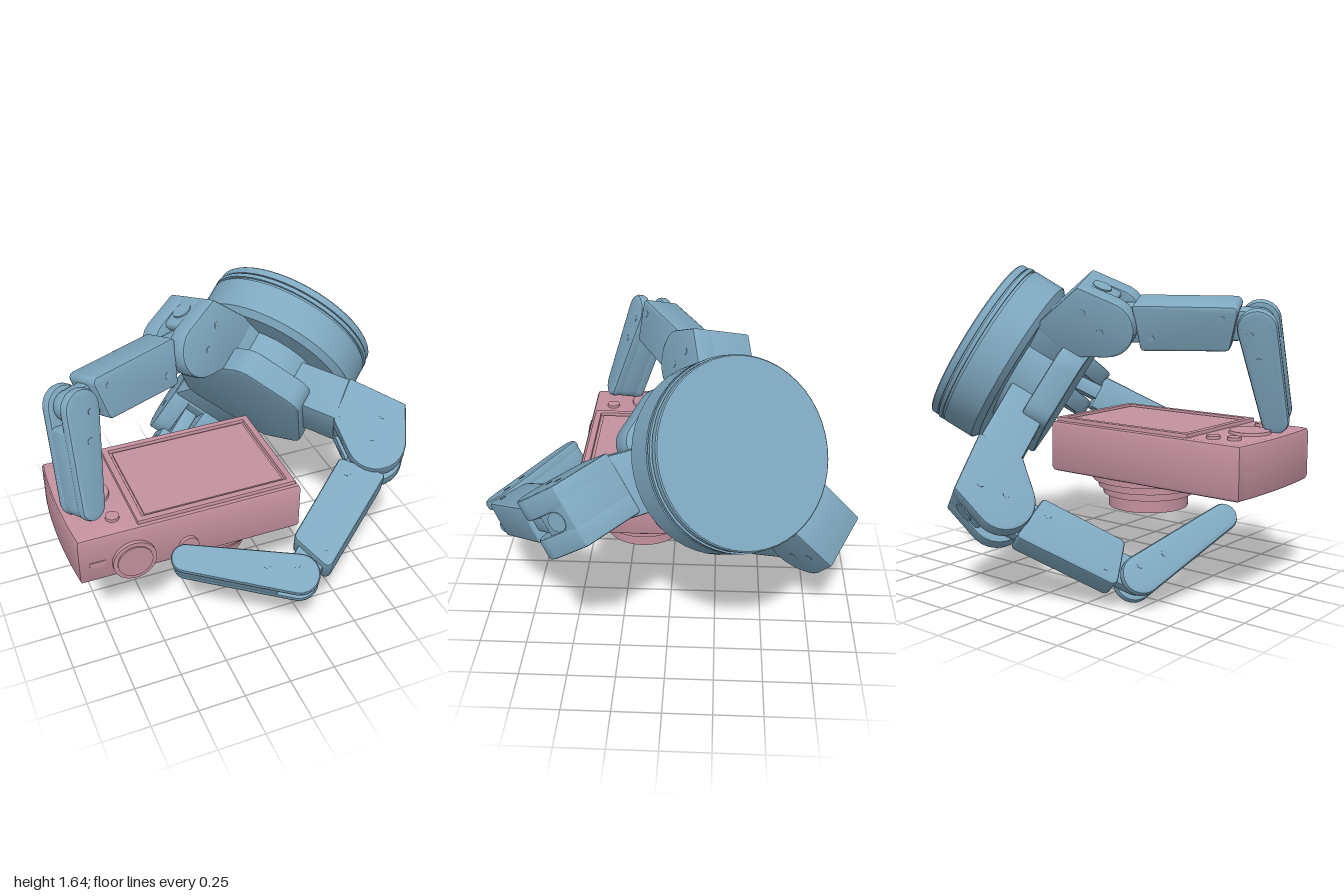
import * as THREE from 'three';
import { toCreasedNormals } from 'three/addons/utils/BufferGeometryUtils.js';

const V = (x, y, z) => new THREE.Vector3(x, y, z);
const blue = new THREE.MeshStandardMaterial({ color: 0x7fa8c0 });
const pink = new THREE.MeshStandardMaterial({ color: 0xc4919f });

function add(parent, name, geo, mat, x = 0, y = 0, z = 0) {
  const m = new THREE.Mesh(geo, mat);
  m.name = name;
  m.position.set(x, y, z);
  parent.add(m);
  return m;
}

// Convex outline around circles given as [x, y, radius]
function hull(circles) {
  const pts = [];
  for (const [x, y, r] of circles) {
    for (let i = 0; i < 24; i++) {
      const a = i * Math.PI / 12;
      pts.push(new THREE.Vector2(x + r * Math.cos(a), y + r * Math.sin(a)));
    }
  }
  pts.sort((a, b) => a.x - b.x || a.y - b.y);
  const chain = list => {
    const out = [];
    for (const p of list) {
      while (out.length > 1) {
        const a = out[out.length - 2], b = out[out.length - 1];
        if ((b.x - a.x) * (p.y - a.y) - (b.y - a.y) * (p.x - a.x) > 1e-7) break;
        out.pop();
      }
      out.push(p);
    }
    return out.slice(0, -1);
  };
  return new THREE.Shape([...chain(pts), ...chain(pts.reverse())]);
}

// Extrusion centred on z, with edges bevelled inward
function slab(shape, width, bevel = 0.012) {
  const g = new THREE.ExtrudeGeometry(shape, {
    depth: width - 2 * bevel, bevelEnabled: true, bevelThickness: bevel,
    bevelSize: bevel, bevelOffset: -bevel, bevelSegments: 2, curveSegments: 10,
  });
  g.translate(0, 0, bevel - width / 2);
  return toCreasedNormals(g, 0.6);
}

// Group at a point: x along dir, z along the hinge, y turned toward a target
function frame(parent, name, origin, dir, hinge, target) {
  const e1 = dir.clone().normalize();
  const e3 = hinge.clone().addScaledVector(e1, -hinge.dot(e1)).normalize();
  const e2 = e3.clone().cross(e1);
  if (target && e2.dot(target.clone().sub(origin)) < 0) { e3.negate(); e2.negate(); }
  const g = new THREE.Group();
  g.name = name;
  g.quaternion.setFromRotationMatrix(new THREE.Matrix4().makeBasis(e1, e2, e3));
  g.position.copy(origin);
  parent.add(g);
  return g;
}

function screws(parent, list, half) {
  for (const [x, y] of list) for (const s of [-1, 1]) {
    add(parent, 'screw', new THREE.CylinderGeometry(0.018, 0.018, 0.008, 12), blue, x, y, s * (half - 0.002))
      .rotation.x = Math.PI / 2;
  }
}

// Axis of the hand: face centre, outward normal and the three radial directions
const C0 = V(0.612, 1.253, -0.372);
const N = V(0.71, 0.52, -0.47).normalize();
const R = V(-0.6, 0.796, -0.05);
R.addScaledVector(N, -R.dot(N)).normalize();
const T = N.clone().cross(R);
const along = d => C0.clone().addScaledVector(N, -d);

function finger({ name, angle, corner, mid, end, tip }) {
  const g = new THREE.Group();
  g.name = name;
  const hinge = T.clone().applyAxisAngle(N, angle);
  const hub = along(0.4);

  // knuckle: forked block with a rounded end
  const k = frame(g, 'knuckle', corner, mid.clone().sub(corner), hinge, hub);
  const heel = [[0.015, 0, 0.012], [0.06, 0.29, 0.01], [0.27, 0.22, 0.02]];
  add(k, 'knuckleCore', slab(hull([...heel, [0.16, -0.08, 0.02], [0.2, 0.1, 0.02]]), 0.3), blue);
  for (const s of [-1, 1]) {
    add(k, 'knuckleCheek', slab(hull([...heel, [0.25, 0, 0.148]]), 0.11), blue, 0, 0, s * 0.105);
  }
  screws(k, [[0.25, 0.03], [0.12, 0.05]], 0.16);
  const bolt = add(k, 'knuckleBolt', new THREE.CylinderGeometry(0.05, 0.05, 0.008, 20), blue, 0.08, -0.057, 0);
  bolt.rotation.z = -0.62;

  // arm joining the knuckle to the hub
  k.updateMatrix();
  const seam = V(0.165, 0.235, 0).applyMatrix4(k.matrix);
  const toHub = hub.clone().sub(seam);
  const a = frame(g, 'arm', seam, toHub, hinge);
  add(a, 'armBeam', slab(hull([[-0.03, -0.1, 0.015], [-0.03, 0.1, 0.015],
    [toHub.length(), -0.1, 0.015], [toHub.length(), 0.1, 0.015]]), 0.31), blue);

  // middle link: box on a thin tongue
  const span = end.clone().sub(mid), L = span.length();
  const l = frame(g, 'link', mid, span, hinge, hub);
  add(l, 'linkTongue', slab(hull([[0, 0, 0.1], [L, 0, 0.075]]), 0.085), blue);
  add(l, 'linkBody', slab(hull([[0.14, -0.1, 0.02], [0.17, 0.1, 0.02],
    [L - 0.12, -0.085, 0.03], [L - 0.16, 0.085, 0.03]]), 0.2, 0.015), blue);
  screws(l, [[0.21, 0.05], [L - 0.17, -0.05]], 0.1);

  // fingertip: forked at the joint, tapering to a rounded end
  const reach = tip.clone().sub(end), F = reach.length();
  const f = frame(g, 'fingertip', end, reach, hinge, hub);
  add(f, 'tipCore', slab(hull([[0.11, -0.07, 0.02], [0.11, 0.07, 0.02], [F, 0, 0.066]]), 0.17, 0.02), blue);
  for (const s of [-1, 1]) {
    add(f, 'tipCheek', slab(hull([[0, 0, 0.1], [F, 0, 0.07]]), 0.06, 0.02), blue, 0, 0, s * 0.07);
  }
  screws(f, [[0.02, 0.04], [0.16, 0.02]], 0.1);
  return g;
}

function hand() {
  const g = new THREE.Group();
  g.name = 'gripper';

  // round housing with grooved rim
  const prof = [[0, -0.28], [0.43, -0.28], [0.465, -0.25], [0.465, -0.085], [0.452, -0.085], [0.452, -0.07],
    [0.465, -0.07], [0.465, -0.05], [0.448, -0.05], [0.448, -0.04], [0.458, -0.04], [0.458, -0.006],
    [0.452, 0], [0, 0]].map(p => new THREE.Vector2(...p));
  const housing = add(g, 'housing', toCreasedNormals(new THREE.LatheGeometry(prof, 48), 0.5), blue);
  housing.quaternion.setFromUnitVectors(V(0, 1, 0), N);
  housing.position.copy(C0);

  // three-lobed palm with blunt, rounded ends on a short core
  const palm = frame(g, 'palm', along(0.5), R, N);
  const lobes = [];
  for (const [deg, d] of [[60, 0.32], [180, 0.27], [300, 0.32]]) for (const s of [-20, 20]) {
    const a = (deg + s) * Math.PI / 180;
    lobes.push([d * Math.cos(a), d * Math.sin(a), 0.105]);
  }
  add(palm, 'palmPad', slab(hull(lobes), 0.14, 0.015), blue);
  add(palm, 'palmCore', new THREE.CylinderGeometry(0.3, 0.3, 0.2, 24), blue, 0, 0, 0.13).rotation.x = Math.PI / 2;

  g.add(finger({ name: 'upperFinger', angle: 0.08, corner: V(-0.03, 1.58, -0.25), mid: V(-0.13, 1.36, -0.14),
    end: V(-0.8, 1.365, 0.16), tip: V(-0.825, 0.9, 0.31) }));
  g.add(finger({ name: 'frontFinger', angle: 2 * Math.PI / 3 + 0.12, corner: V(0.87, 1.05, 0.41),
    mid: V(0.665, 0.92, 0.495), end: V(0.08, 0.58, 0.87), tip: V(-0.40, 0.61, 0.59) }));
  g.add(finger({ name: 'lowerFinger', angle: -2 * Math.PI / 3, corner: V(0.26, 0.54, -0.92), mid: V(0.085, 0.465, -0.745),
    end: V(-0.45, 0.13, -0.36), tip: V(-0.61, 0.345, 0.12) }));
  return g;
}

function heldCamera() {
  const g = new THREE.Group();
  g.name = 'camera';

  // body lying on its front, with one bowed end
  const s = new THREE.Shape();
  s.moveTo(0.26, -0.18);
  s.lineTo(0.26, 0.49);
  s.lineTo(-0.91, 0.49);
  s.quadraticCurveTo(-0.95, 0.155, -0.91, -0.18);
  s.closePath();
  add(g, 'body', slab(s, 0.275, 0.022), pink, 0, 0.6825, 0).rotation.x = Math.PI / 2;

  // screen and raised surround
  const rect = (P, a, b, c, d) => {
    const p = new P();
    p.moveTo(a, c); p.lineTo(b, c); p.lineTo(b, d); p.lineTo(a, d); p.closePath();
    return p;
  };
  const rim = rect(THREE.Shape, -0.6, 0.24, -0.16, 0.47);
  rim.holes.push(rect(THREE.Path, -0.565, 0.205, -0.125, 0.435));
  add(g, 'screenSurround', slab(rim, 0.04, 0.006), pink, 0, 0.82, 0).rotation.x = Math.PI / 2;
  add(g, 'screen', new THREE.BoxGeometry(0.74, 0.03, 0.53), pink, -0.18, 0.815, 0.155);

  // buttons beside the screen
  for (const [x, z, r] of [[-0.8, -0.05, 0.036], [-0.7, -0.08, 0.036], [-0.7, 0.375, 0.036], [-0.76, 0.16, 0.11]]) {
    add(g, 'button', new THREE.CylinderGeometry(r * 0.94, r, 0.03, 32), pink, x, 0.82, z);
  }

  // dial, shutter button and strap slot on the long edge
  for (const [x, y, r] of [[-0.635, 0.63, 0.112], [-0.635, 0.63, 0.09], [-0.35, 0.63, 0.05]]) {
    add(g, 'dial', new THREE.CylinderGeometry(r, r, r === 0.09 ? 0.06 : 0.045, 36), pink, x, y, 0.487)
      .rotation.x = Math.PI / 2;
  }
  add(g, 'strapSlot', new THREE.BoxGeometry(0.08, 0.03, 0.012), pink, -0.82, 0.655, 0.488);
  add(g, 'foot', new THREE.CylinderGeometry(0.02, 0.02, 0.03, 16), pink, -0.51, 0.54, 0.4);

  // stepped lens barrel with recessed front
  const steps = [[0, 0.385], [0.1, 0.385], [0.13, 0.36], [0.215, 0.36], [0.215, 0.43], [0.243, 0.43], [0.243, 0.47],
    [0.27, 0.47], [0.27, 0.51], [0.3, 0.51], [0.3, 0.56]].map(p => new THREE.Vector2(...p));
  add(g, 'lensBarrel', toCreasedNormals(new THREE.LatheGeometry(steps, 48), 0.5), pink, -0.135, 0, 0.155);
  const gate = rect(THREE.Shape, -0.08, 0.08, -0.06, 0.06);
  gate.holes.push(rect(THREE.Path, -0.06, 0.06, -0.04, 0.04));
  add(g, 'lensGate', slab(gate, 0.03, 0.004), pink, -0.135, 0.38, 0.155).rotation.x = Math.PI / 2;
  return g;
}

export function createModel() {
  const model = new THREE.Group();
  model.name = 'gripperHoldingCamera';
  model.add(hand(), heldCamera());
  return model;
}
